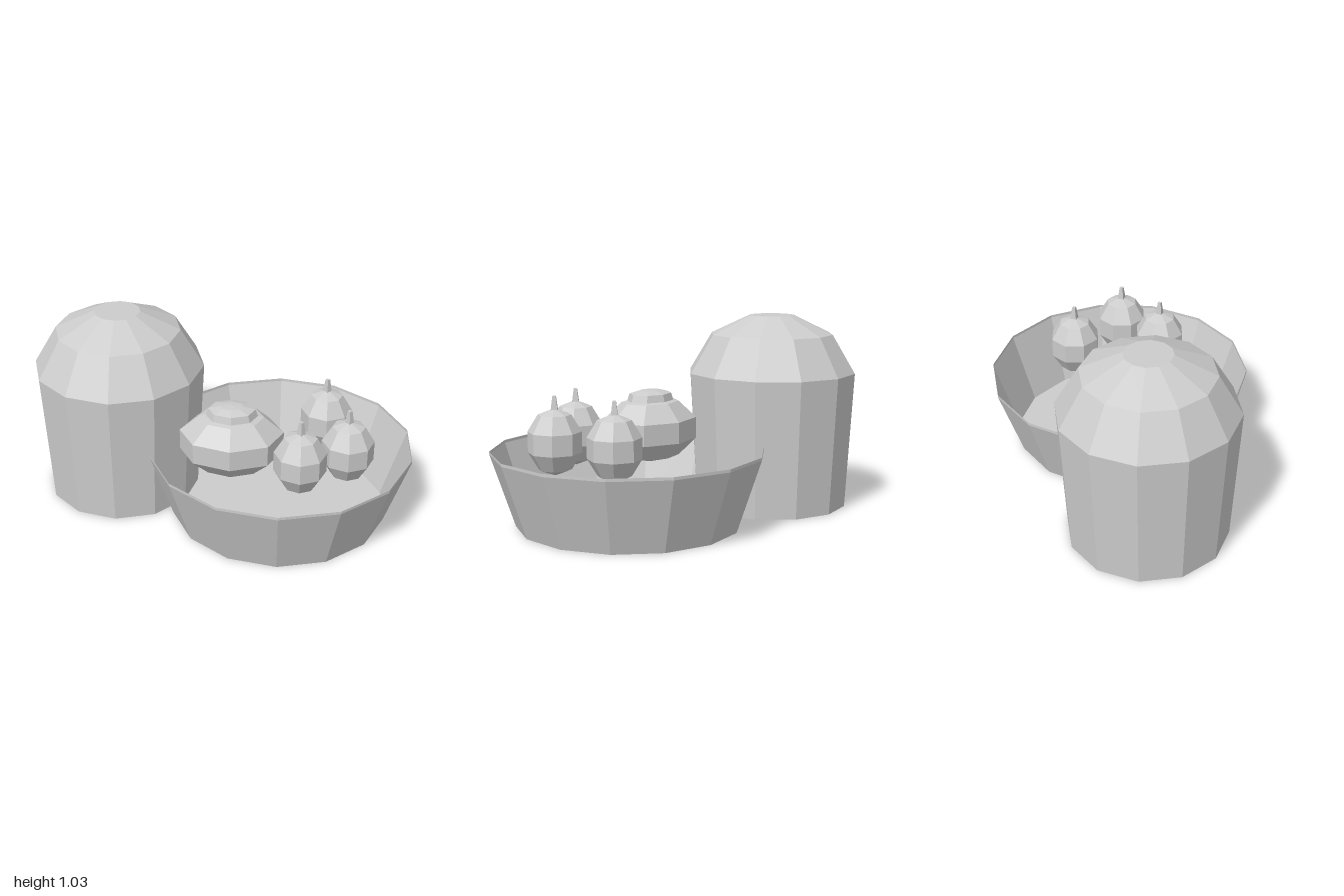
import * as THREE from 'three';

const ceramic = new THREE.MeshStandardMaterial({ color: 0xcccccc, flatShading: true, side: THREE.DoubleSide });

// Faceted turned part from [radius, height] pairs, listed bottom to top
function turned(name, profile, sides) {
  const points = profile.map(([r, y]) => new THREE.Vector2(r, y));
  const mesh = new THREE.Mesh(new THREE.LatheGeometry(points, sides), ceramic);
  mesh.name = name;
  return mesh;
}

// Low-poly squashed ball: 8 sides, 5 bands
function ballProfile(radius, halfHeight, centerY) {
  const profile = [];
  for (let i = 0; i <= 5; i++) {
    const a = (i * Math.PI) / 5;
    profile.push([radius * Math.sin(a), centerY - halfHeight * Math.cos(a)]);
  }
  return profile;
}

export function createModel() {
  const model = new THREE.Group();
  model.name = 'bowlAndJar';

  // Open bowl with a short upright lip
  const bowl = turned('bowl', [[0, 0], [0.575, 0], [0.7, 0.375], [0.7, 0.39]], 14);
  bowl.position.x = 0.316;
  model.add(bowl);

  // Domed jar
  const jar = turned('domedJar',
    [[0, 0], [0.412, 0], [0.452, 0.725], [0.33, 0.93], [0.121, 1.03], [0, 1.03]], 12);
  jar.position.set(-0.549, 0, -0.207);
  model.add(jar);

  // Large oval fruit with a low cap
  const large = new THREE.Group();
  large.name = 'largeFruit';
  large.add(turned('largeFruitBody', ballProfile(0.284, 0.178, 0.45), 8));
  large.add(turned('largeFruitCap', [[0.135, 0.6], [0.122, 0.638], [0.06, 0.654], [0, 0.658]], 8));
  large.scale.z = 0.79;
  large.position.set(0.065, 0, 0.1);
  model.add(large);

  // Three small stemmed fruits
  for (const [x, z] of [[0.42, 0.287], [0.664, 0.16], [0.56, -0.166]]) {
    const fruit = new THREE.Group();
    fruit.name = 'smallFruit';
    fruit.add(turned('smallFruitBody', ballProfile(0.142, 0.17, 0.45), 8));
    const stem = new THREE.Mesh(new THREE.CylinderGeometry(0.012, 0.027, 0.09, 4), ceramic);
    stem.name = 'stem';
    stem.position.y = 0.635;
    fruit.add(stem);
    fruit.position.set(x, 0, z);
    model.add(fruit);
  }
  return model;
}
